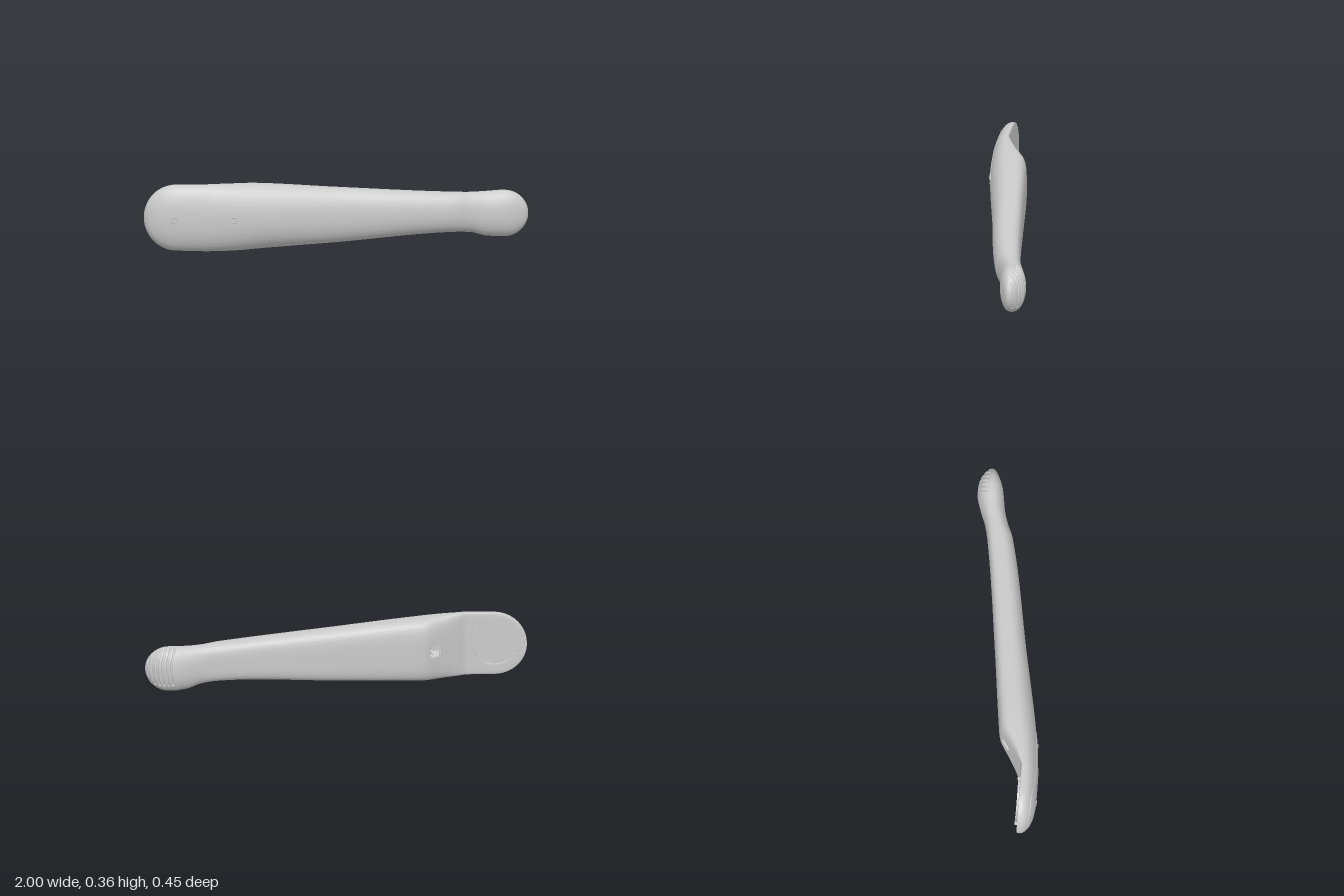
import * as THREE from 'three';
import { toCreasedNormals } from 'three/addons/utils/BufferGeometryUtils.js';

const FRONT_N = 2.2;
// stations: x, bottom y, top y, back z, front z, z of widest point, squareness of the back
const STATIONS = [
  [-1.0, 0.003, 0.357, 0.137, 0.224, 0.15, 10],
  [-0.83, 0.004, 0.355, 0.137, 0.224, 0.15, 10],
  [-0.69, 0.002, 0.357, 0.135, 0.222, 0.147, 9],
  [-0.63, 0.001, 0.357, 0.105, 0.217, 0.135, 5],
  [-0.55, 0.002, 0.356, 0.055, 0.209, 0.12, 4],
  [-0.46, 0.006, 0.354, 0.002, 0.196, 0.1, 4],
  [-0.4, 0.01, 0.352, -0.008, 0.186, 0.085, 4],
  [0.0, 0.036, 0.325, -0.062, 0.105, 0.025, 4],
  [0.62, 0.078, 0.287, -0.155, -0.02, -0.085, 3.6],
  [0.7, 0.072, 0.284, -0.175, -0.052, -0.115, 2.8],
  [0.78, 0.05, 0.286, -0.205, -0.075, -0.14, 2.3],
  [0.86, 0.044, 0.29, -0.226, -0.088, -0.155, 2.2],
  [0.92, 0.046, 0.289, -0.226, -0.1, -0.157, 2.2],
  [1.0, 0.05, 0.288, -0.215, -0.115, -0.157, 2.2],
];

// slope at a station, zero at local extremes so curves do not overshoot
function slope(i, k) {
  if (i === 0 || i === STATIONS.length - 1) return 0;
  const [a, b, c] = [STATIONS[i - 1], STATIONS[i], STATIONS[i + 1]];
  const l = (b[k] - a[k]) / (b[0] - a[0]), r = (c[k] - b[k]) / (c[0] - b[0]);
  return l * r <= 0 ? 0 : (2 * l * r) / (l + r);
}

// cross-section of the lever at x
function section(x) {
  let i = 0;
  while (i < STATIONS.length - 2 && x > STATIONS[i + 1][0]) i++;
  const a = STATIONS[i], b = STATIONS[i + 1], w = b[0] - a[0], t = (x - a[0]) / w;
  const [y0, y1, zb, zf, zc, n] = [1, 2, 3, 4, 5, 6].map((k) =>
    a[k] * (1 + 2 * t) * (1 - t) ** 2 + b[k] * t * t * (3 - 2 * t)
    + w * t * (1 - t) * (slope(i, k) * (1 - t) - slope(i + 1, k) * t));
  const round = (d) => Math.sqrt(Math.max(0, 1 - d * d));
  const left = x < -0.825 ? round((x + 0.825) / 0.175) : 1;
  const right = x > 0.88 ? round((x - 0.88) / 0.12) : 1;
  return {
    yc: (y0 + y1) / 2, h: (y1 - y0) / 2 * left * right, zc, n,
    front: (zf - zc) * left * right, back: (zc - zb) * right,
  };
}

// height of the front surface at x, y
function frontZ(x, y) {
  const s = section(x), v = Math.min(1, Math.abs(y - s.yc) / s.h);
  return s.zc + s.front * (1 - v ** FRONT_N) ** (1 / FRONT_N);
}

function leverGeometry() {
  const xs = [];
  const span = (a, b, n, ease = (t) => t) => {
    for (let i = 0; i < n; i++) xs.push(a + (b - a) * ease(i / n));
  };
  span(-1, -0.7, 28, (t) => 1 - Math.cos(t * Math.PI / 2));
  span(-0.7, -0.58, 14);
  span(-0.58, -0.47, 28);
  span(-0.47, -0.38, 8);
  span(-0.38, 0.62, 20);
  span(0.62, 0.8, 14);
  span(0.8, 1, 110, (t) => Math.sin(t * Math.PI / 2));
  xs.push(1);

  const M = 144, pos = [], index = [];
  xs.forEach((x, i) => {
    const s = section(x);
    for (let j = 0; j < M; j++) {
      const a = (j / M) * Math.PI * 2, c = Math.cos(a), q = Math.sin(a);
      const n = q >= 0 ? FRONT_N : s.n;
      const r = (Math.abs(c) ** n + Math.abs(q) ** n) ** (-1 / n);
      let y = s.yc + c * r * s.h;
      let z = s.zc + q * r * (q >= 0 ? s.front : s.back);
      // screw hole in the back slope
      if (q < 0 && Math.hypot(x + 0.525, y - 0.18) < 0.03) z = Math.max(z, 0.1);
      // curved grip grooves on the back of the rounded end
      const u = x + 1.6 * (y - 0.18) ** 2;
      if (q < -0.25 && x > 0.8 && u > 0.85 && u < 0.99 && y > 0.09) {
        const g = Math.abs(((u - 0.85) / 0.024) % 1 - 0.5);
        const d = 0.007 * THREE.MathUtils.smoothstep(0.28 - g, 0, 0.16);
        z += d * -q;
        y -= d * c;
      }
      pos.push(x, y, z);
      if (i < xs.length - 1) {
        const p = i * M + j, p2 = i * M + (j + 1) % M;
        index.push(p, p2, p + M, p2, p2 + M, p + M);
      }
    }
  });
  const geo = new THREE.BufferGeometry();
  geo.setAttribute('position', new THREE.Float32BufferAttribute(pos, 3));
  geo.setIndex(index);
  return toCreasedNormals(geo, 0.6);
}

// teardrop cover laid over the front surface
function coverGeometry() {
  const outline = [];
  const big = [-0.84, 0.18, 0.13], small = [-0.49, 0.183, 0.043];
  const phi = Math.acos((big[2] - small[2]) / (small[0] - big[0]));
  const arc = ([x, y, r], a, b, n) => {
    for (let i = 0; i <= n; i++) {
      const t = a + (b - a) * i / n;
      outline.push([x + r * Math.cos(t), y + r * Math.sin(t)]);
    }
  };
  const line = (n) => {
    const at = (c, s) => [c[0] + c[2] * Math.cos(phi), c[1] + s * c[2] * Math.sin(phi)];
    const s = n > 0 ? -1 : 1, from = at(n > 0 ? big : small, s), to = at(n > 0 ? small : big, s);
    for (let i = 1; i < 14; i++) outline.push([0, 1].map((k) => from[k] + (to[k] - from[k]) * i / 14));
  };
  arc(big, phi, Math.PI * 2 - phi, 40);
  line(1);
  arc(small, -phi, phi, 20);
  line(-1);

  const pos = [], index = [], N = outline.length, R = 14;
  for (let k = 0; k <= R + 1; k++) {
    const f = k === 0 ? 1 : 1 - (k - 1) / R;
    outline.forEach(([ox, oy], j) => {
      const x = -0.7 + (ox + 0.7) * f, y = 0.18 + (oy - 0.18) * f;
      pos.push(x, y, frontZ(x, y) + (k === 0 ? -0.004 : 0.0025));
      if (k <= R) {
        const p = k * N + j, p2 = k * N + (j + 1) % N;
        index.push(p, p2, p + N, p2, p2 + N, p + N);
      }
    });
  }
  const geo = new THREE.BufferGeometry();
  geo.setAttribute('position', new THREE.Float32BufferAttribute(pos, 3));
  geo.setIndex(index);
  return toCreasedNormals(geo, 0.6);
}

// curved rib with rounded ends, standing on the flat back of the head
function ribGeometry() {
  const a0 = -Math.PI * 0.83, a1 = Math.PI * 0.2, r = 0.122, w = 0.009;
  const shape = new THREE.Shape();
  shape.absarc(0, 0, r + w, a0, a1, false);
  shape.absarc(r * Math.cos(a1), r * Math.sin(a1), w, a1, a1 + Math.PI, false);
  shape.absarc(0, 0, r - w, a1, a0, true);
  shape.absarc(r * Math.cos(a0), r * Math.sin(a0), w, a0 + Math.PI, a0 + Math.PI * 2, false);
  return toCreasedNormals(
    new THREE.ExtrudeGeometry(shape, { depth: 0.022, bevelEnabled: false, curveSegments: 32 }), 0.6);
}

export function createModel() {
  const group = new THREE.Group();
  const material = new THREE.MeshStandardMaterial({ color: 0xcccccc });
  const add = (name, geo, x = 0, y = 0, z = 0) => {
    const mesh = new THREE.Mesh(geo, material);
    mesh.name = name;
    mesh.position.set(x, y, z);
    group.add(mesh);
    return mesh;
  };

  add('leverBody', leverGeometry());
  add('frontCover', coverGeometry());
  add('backRib', ribGeometry(), -0.83, 0.18, 0.12);

  // small screws in the cover: rim and centre stud
  for (const x of [-0.835, -0.525]) {
    const z = frontZ(x, 0.18) + 0.002;
    add('screwRim', new THREE.TorusGeometry(0.014, 0.003, 8, 28), x, 0.18, z);
    add('screwCentre', new THREE.CylinderGeometry(0.006, 0.006, 0.006, 6), x, 0.18, z)
      .rotation.x = Math.PI / 2;
  }
  return group;
}
